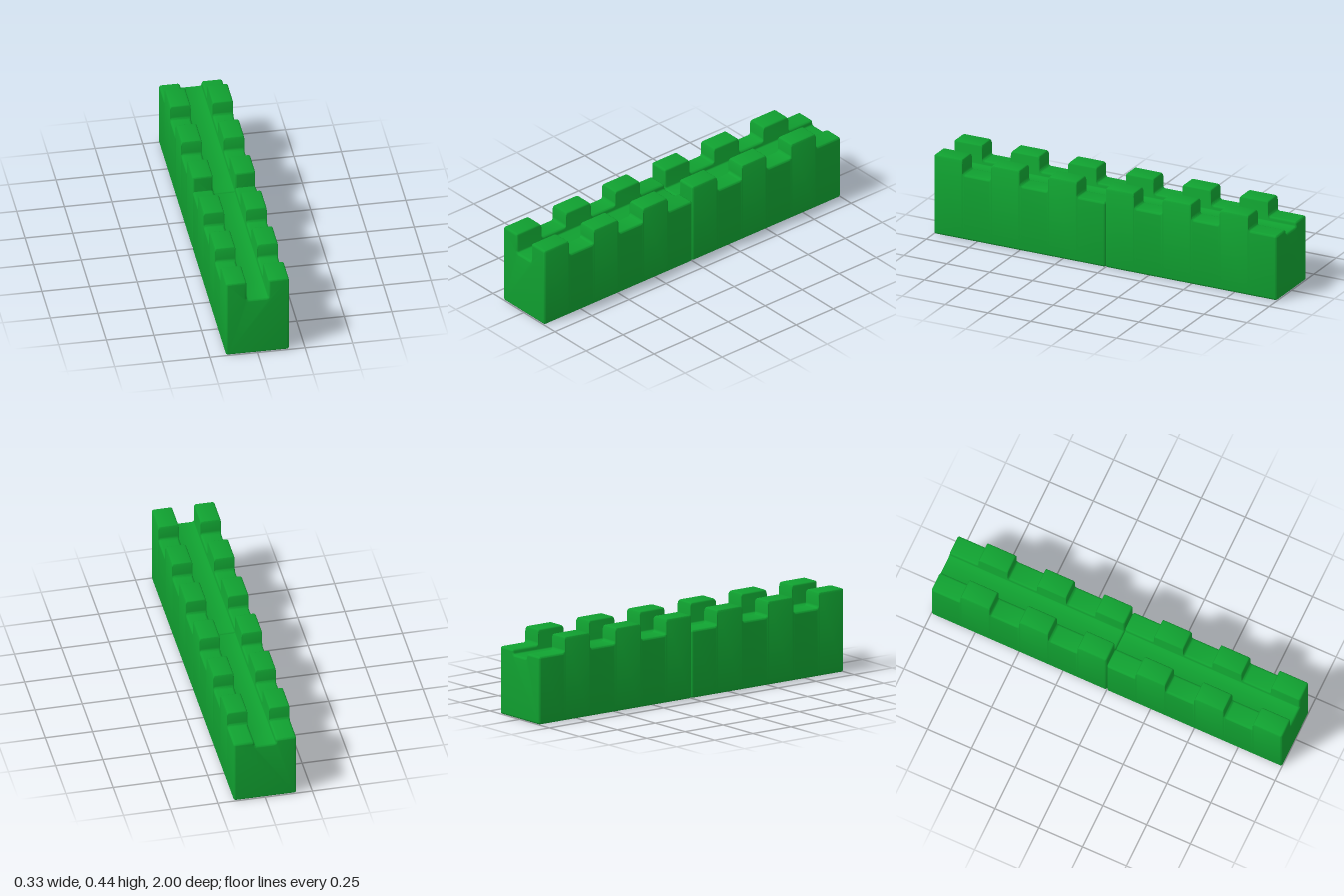
import * as THREE from 'three';
import { toCreasedNormals } from 'three/addons/utils/BufferGeometryUtils.js';

const HALF = 0.166, CHANNEL = 0.057, FLOOR = 0.333; // half width, channel half width, channel floor
const HIGH = 0.443, LOW = 0.36;                     // merlon top, gap top
const R = 0.012, FILLET = 0.016, SEG = 4;           // edge rounding

// U-shaped cross-section, counter-clockwise from the front, shrunk inwards by d
function section(h, d) {
  const x = HALF - d, c = CHANNEL + d, top = h - d, floor = FLOOR - d;
  const corners = [
    [-x, d], [x, d], [x, top], [c, top], [c, floor, true],
    [-c, floor, true], [-c, top], [-x, top],
  ].map(([px, py, concave]) => ({ p: new THREE.Vector2(px, py), r: concave ? R + d : Math.max(R - d, 0.001) }));
  const points = [];
  corners.forEach(({ p, r }, i) => {
    const toPrev = corners[(i + 7) % 8].p.clone().sub(p).normalize();
    const toNext = corners[(i + 1) % 8].p.clone().sub(p).normalize();
    for (let s = 0; s <= SEG; s++) {
      const a = (s / SEG) * Math.PI / 2;
      points.push(p.clone()
        .addScaledVector(toPrev, r * (1 - Math.sin(a)))
        .addScaledVector(toNext, r * (1 - Math.cos(a))));
    }
  });
  return points;
}

// Stations along the block: distance t from the front, wall height h, inset d
function stations() {
  const list = [];
  const angles = Array.from({ length: SEG + 1 }, (_, s) => (s / SEG) * Math.PI / 2);
  // rounded front end
  angles.forEach(a => list.push({ t: R * (1 - Math.sin(a)), h: HIGH, d: R * (1 - Math.cos(a)) }));
  list.reverse();
  list.sort((p, q) => p.t - q.t);
  // crenellation steps, alternately down and up
  for (let k = 1; k < 6; k++) {
    const edge = k / 6;
    const step = [
      ...angles.map(a => ({ o: -R + R * Math.sin(a), h: HIGH - R * (1 - Math.cos(a)) })),
      ...angles.map(a => ({ o: FILLET * (1 - Math.cos(a)), h: LOW + FILLET * (1 - Math.sin(a)) })),
    ];
    const down = k % 2 === 1;
    if (!down) step.reverse();
    step.forEach(({ o, h }) => list.push({ t: edge + (down ? o : -o), h, d: 0 }));
  }
  // rounded back end
  angles.forEach(a => list.push({ t: 1 - R + R * Math.sin(a), h: LOW, d: R * (1 - Math.cos(a)) }));
  return list;
}

// Loft the sections front to back and close both ends
function blockGeometry() {
  const rings = stations().map(({ t, h, d }) => ({ z: 0.5 - t, pts: section(h, d) }));
  const n = rings[0].pts.length, last = rings.length - 1;
  const positions = [], index = [];
  rings.forEach(({ z, pts }) => pts.forEach(p => positions.push(p.x, p.y, z)));
  for (let i = 0; i < last; i++) {
    for (let j = 0; j < n; j++) {
      const k = (j + 1) % n;
      const a = i * n + j, b = i * n + k, c = b + n, d = a + n;
      index.push(a, d, b, b, d, c);
    }
  }
  THREE.ShapeUtils.triangulateShape(rings[0].pts, [])
    .forEach(([a, b, c]) => index.push(a, b, c));
  THREE.ShapeUtils.triangulateShape(rings[last].pts, [])
    .forEach(([a, b, c]) => index.push(last * n + a, last * n + c, last * n + b));
  const geometry = new THREE.BufferGeometry();
  geometry.setAttribute('position', new THREE.Float32BufferAttribute(positions, 3));
  geometry.setIndex(index);
  return toCreasedNormals(geometry, 0.6);
}

export function createModel() {
  const group = new THREE.Group();
  group.name = 'crenellatedWall';
  const material = new THREE.MeshStandardMaterial({ color: 0x10a030 });
  const geometry = blockGeometry();
  // two identical blocks end to end
  [['frontBlock', 0.5], ['backBlock', -0.5]].forEach(([name, z]) => {
    const block = new THREE.Mesh(geometry, material);
    block.name = name;
    block.position.z = z;
    group.add(block);
  });
  return group;
}
